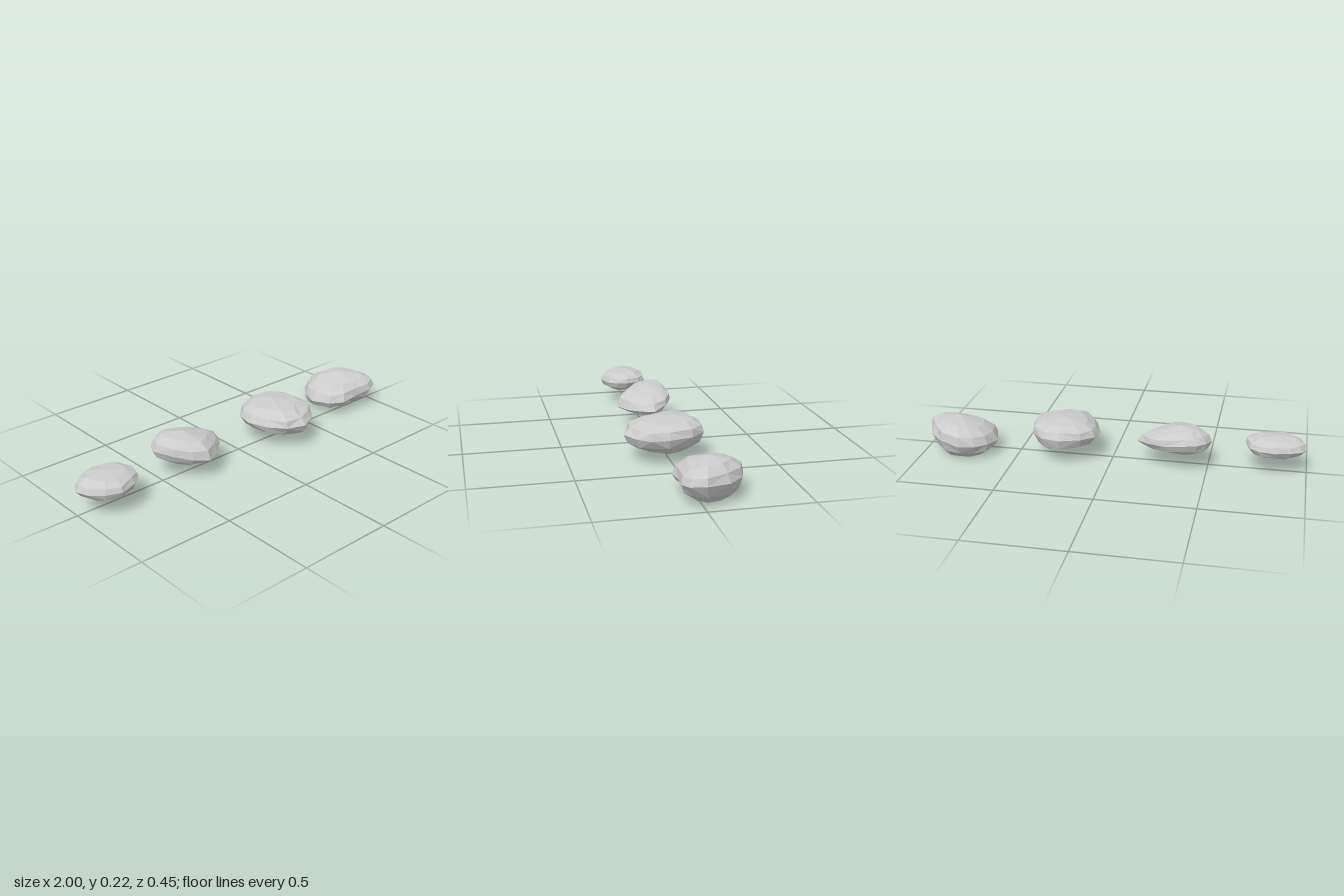
import * as THREE from 'three';

const { lerp } = THREE.MathUtils;
const SIDES = 12;

// Ring size, the two height planes it lies between, and how far between them
const levels = [
  [0.6, 'low', 'rim', 0],
  [0.87, 'low', 'rim', 0.42],
  [1, 'rim', 'rim', 0],
  [0.91, 'rim', 'high', 0.55],
  [0.65, 'rim', 'high', 1],
];

function seeded(seed) {
  return () => (seed = (seed * 16807) % 2147483647) / 2147483647;
}

// outline: x, z pairs running left, back, right, front
// rim, high, low: height at the centre, then its slope along x and z
// arch: how far the middle of the underside is lifted
function addRock(group, material, seed, name, { outline, centre, top, bottom, rim, high, low, arch = 0 }) {
  const rand = seeded(seed);
  const planes = { rim, high, low };
  const curve = new THREE.CatmullRomCurve3(
    outline.map(([x, z]) => new THREE.Vector3(x, 0, z)), true, 'catmullrom', 0.4);
  const edge = Array.from({ length: SIDES }, (_, i) => curve.getPoint(i / SIDES));

  const height = (plane, p) => {
    const [base, slopeX, slopeZ] = planes[plane];
    const dx = p.x - centre[0], dz = p.z - centre[1];
    const lift = plane === 'low' ? arch * Math.max(0, 1 - Math.abs(dx) / 0.12) : 0;
    return base + slopeX * dx + slopeZ * dz + lift;
  };

  // Irregular rings from the belly up to the shoulder
  const rings = levels.map(([size, from, to, mix]) => edge.map((p) => {
    const pole = from === 'low' ? bottom : top;
    const s = size === 1 ? 1 : size + (rand() - 0.5) * 0.1;
    const y = lerp(height(from, p), height(to, p), mix) + (rand() - 0.5) * 0.008;
    return [lerp(pole[0], p.x, s), Math.max(y, 0), lerp(pole[2], p.z, s)];
  }));

  const positions = [];
  const tri = (...corners) => corners.forEach((c) => positions.push(...c));
  for (let j = 0; j < SIDES; j++) {
    const k = (j + 1) % SIDES;
    tri(bottom, rings[0][j], rings[0][k]);
    for (let i = 0; i < rings.length - 1; i++) {
      const a = rings[i][j], b = rings[i][k], c = rings[i + 1][j], d = rings[i + 1][k];
      // Vary the diagonal for a chipped look
      if (rand() < 0.5) {
        tri(a, c, b);
        tri(b, c, d);
      } else {
        tri(a, c, d);
        tri(a, d, b);
      }
    }
    tri(top, rings.at(-1)[k], rings.at(-1)[j]);
  }

  const geometry = new THREE.BufferGeometry();
  geometry.setAttribute('position', new THREE.Float32BufferAttribute(positions, 3));
  geometry.computeVertexNormals();
  const mesh = new THREE.Mesh(geometry, material);
  mesh.name = name;
  group.add(mesh);
}

export function createModel() {
  const group = new THREE.Group();
  group.name = 'rocks';
  const material = new THREE.MeshStandardMaterial({ color: 0xcccccc, flatShading: true });

  addRock(group, material, 1234, 'smallFlatRock', {
    outline: [[-1, 0], [-0.95, -0.07], [-0.84, -0.105], [-0.73, -0.085],
      [-0.685, 0.02], [-0.715, 0.1], [-0.84, 0.15], [-0.95, 0.1]],
    centre: [-0.84, 0.02], top: [-0.84, 0.2, 0.01], bottom: [-0.84, 0.08, 0.03],
    rim: [0.14, 0.03, -0.03], high: [0.188, 0, -0.02], low: [0.09, 0, -0.02],
  });

  addRock(group, material, 2011, 'taperedRock', {
    outline: [[-0.52, -0.04], [-0.475, -0.12], [-0.395, -0.15], [-0.24, -0.13],
      [-0.13, -0.025], [-0.19, 0.07], [-0.315, 0.15], [-0.43, 0.085]],
    centre: [-0.34, 0], top: [-0.35, 0.227, -0.02], bottom: [-0.37, 0.076, 0],
    rim: [0.14, -0.08, -0.13], high: [0.205, -0.1, -0.04], low: [0.09, -0.01, -0.04],
  });

  addRock(group, material, 2788, 'broadRock', {
    outline: [[0.07, 0], [0.1, -0.11], [0.25, -0.18], [0.38, -0.14],
      [0.435, 0.03], [0.4, 0.145], [0.27, 0.225], [0.13, 0.16]],
    centre: [0.25, 0.02], top: [0.25, 0.226, -0.03], bottom: [0.28, 0.056, 0.02],
    rim: [0.145, 0.02, -0.02], high: [0.211, 0.005, -0.02], low: [0.07, -0.03, 0],
  });

  addRock(group, material, 3565, 'archedRock', {
    outline: [[0.61, -0.06], [0.665, -0.18], [0.77, -0.23], [0.92, -0.165],
      [1, 0], [0.955, 0.095], [0.82, 0.085], [0.67, 0.08]],
    centre: [0.8, -0.06], top: [0.82, 0.206, -0.05], bottom: [0.79, 0.025, -0.07],
    rim: [0.1, 0.1, 0], high: [0.175, 0.06, -0.05], low: [0.018, -0.03, 0.1], arch: 0.025,
  });

  return group;
}
